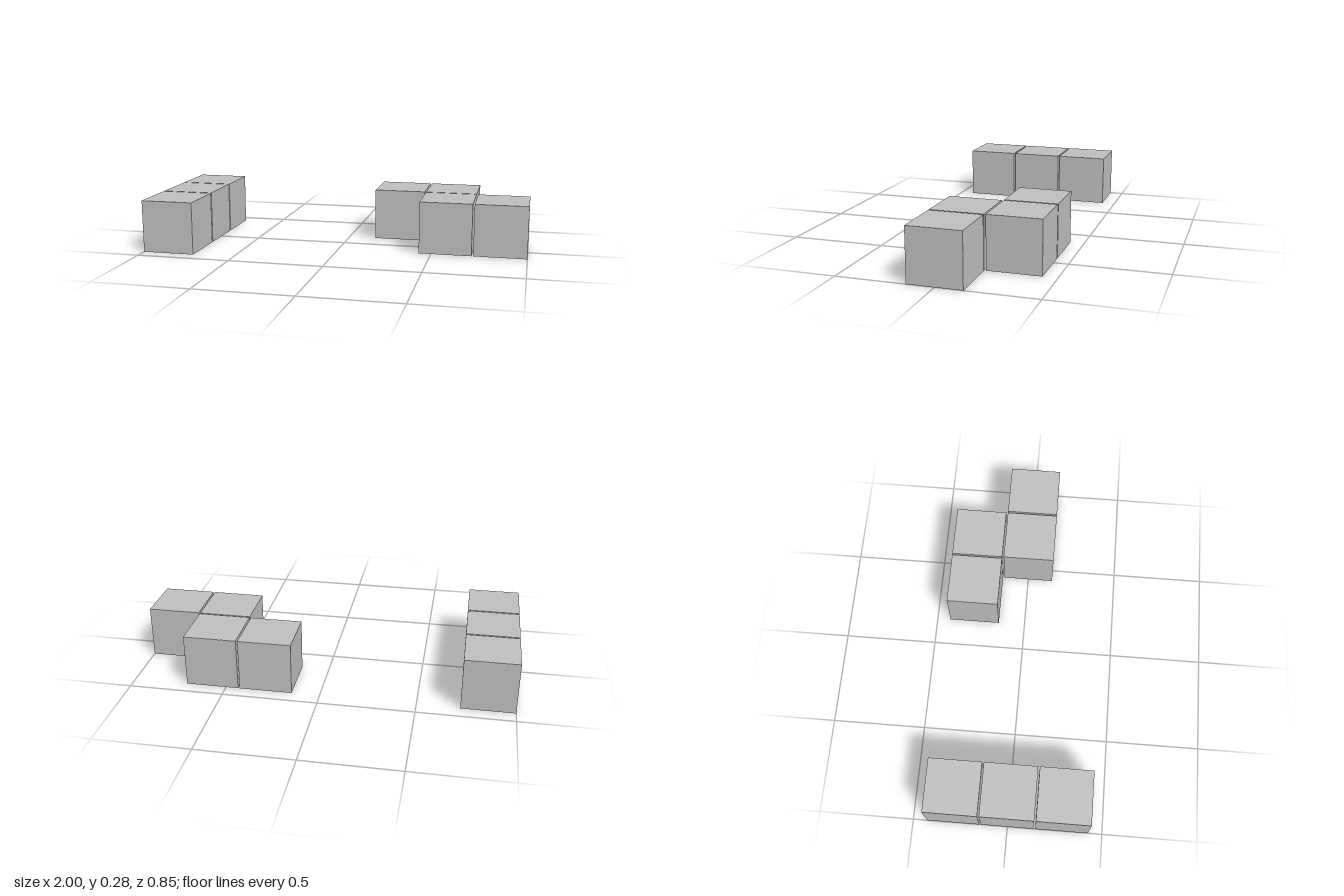
import * as THREE from 'three';

const SIZE = 0.278;
const PITCH = 0.287;

// Cube shell without its bottom face, standing on y = 0
function openCube() {
  const geo = new THREE.BoxGeometry(SIZE, SIZE, SIZE);
  const index = Array.from(geo.index.array);
  index.splice(18, 6); // the downward face
  geo.setIndex(index);
  geo.clearGroups();
  return geo.translate(0, SIZE / 2, 0);
}

export function createModel() {
  const model = new THREE.Group();
  const grey = new THREE.MeshStandardMaterial({ color: 0xc0c0c0 });
  grey.name = 'grey';
  grey.side = THREE.DoubleSide;
  const geo = openCube();

  // Cells are [column, row] on the square grid
  const pieces = {
    straightPiece: [[-3, -1], [-3, 0], [-3, 1]],
    zigzagPiece: [[1, -1], [2, -1], [2, 0], [3, 0]],
  };
  for (const [name, cells] of Object.entries(pieces)) {
    const piece = new THREE.Group();
    piece.name = name;
    cells.forEach(([column, row], i) => {
      const block = new THREE.Mesh(geo, grey);
      block.name = `${name}Block${i + 1}`;
      block.position.set(column * PITCH, 0, row * PITCH);
      piece.add(block);
    });
    model.add(piece);
  }
  return model;
}
